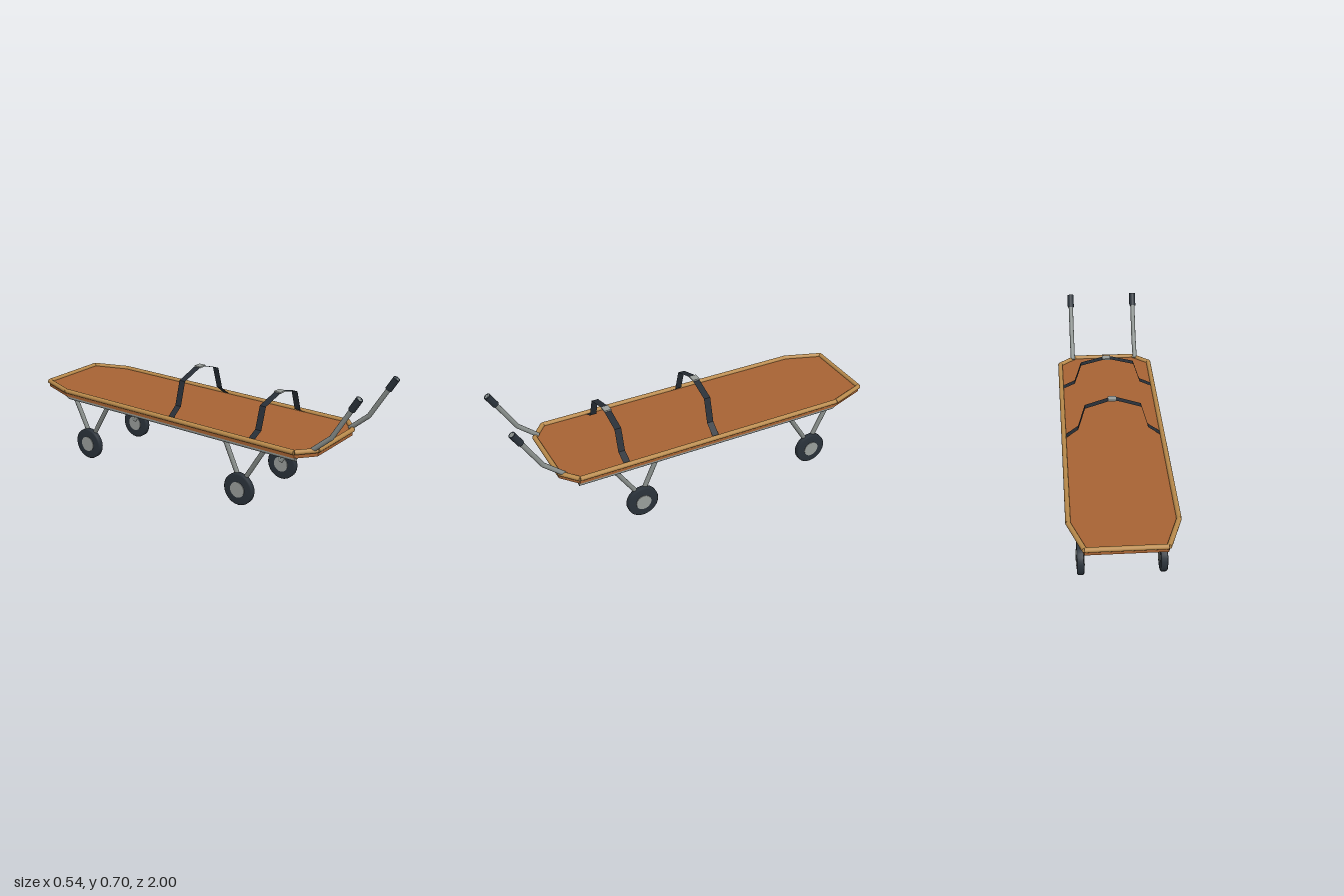
import * as THREE from 'three';

const mat = (name, color, side = THREE.FrontSide) => {
  const m = new THREE.MeshStandardMaterial({ color, side });
  m.name = name;
  return m;
};
const V = (x, y, z) => new THREE.Vector3(x, y, z);

export function createModel() {
  const group = new THREE.Group();
  const wood = mat('wood', 0xa86434);
  const trim = mat('trimWood', 0xb98a4b);
  const metal = mat('metal', 0x8a908d);
  const hubMetal = mat('hubMetal', 0x9a9f9c);
  const rubber = mat('rubber', 0x2a323a);
  const webbing = mat('webbing', 0x272e36, THREE.DoubleSide);

  const add = (name, geometry, material, parent = group) => {
    const mesh = new THREE.Mesh(geometry, material);
    mesh.name = name;
    parent.add(mesh);
    return mesh;
  };

  // Round bar between two points
  const bar = (name, a, b, r, material, sides = 12) => {
    const mesh = add(name, new THREE.CylinderGeometry(r, r, a.distanceTo(b), sides), material);
    mesh.position.copy(a).add(b).multiplyScalar(0.5);
    mesh.quaternion.setFromUnitVectors(V(0, 1, 0), b.clone().sub(a).normalize());
    return mesh;
  };
  // Ball that closes the elbow between two bars
  const elbow = (name, p, r, material) =>
    add(name, new THREE.SphereGeometry(r, 12, 8), material).position.copy(p);

  // Deck board with cut corners, outline as [x, z]
  const half = [[0.168, 0.772], [0.258, 0.695], [0.258, -0.79], [0.19, -0.986]];
  const outline = [...half, ...half.map(([x, z]) => [-x, z]).reverse()];
  const shape = new THREE.Shape(outline.map(([x, z]) => new THREE.Vector2(x, -z)));
  const deck = new THREE.ExtrudeGeometry(shape, { depth: 0.029, bevelEnabled: false });
  deck.rotateX(-Math.PI / 2);
  add('deck', deck, wood).position.y = 0.357;

  // Rounded rim along every deck edge
  outline.forEach(([x, z], i) => {
    const [x2, z2] = outline[(i + 1) % outline.length];
    bar('rim', V(x, 0.388, z), V(x2, 0.388, z2), 0.0125, trim);
  });

  for (const s of [1, -1]) {
    // Rail under the deck, turning inward at the back
    const rail = [V(s * 0.246, 0.352, 0.70), V(s * 0.246, 0.352, -0.775), V(s * 0.148, 0.352, -0.955)];
    bar('rail', rail[0], rail[1], 0.012, metal);
    bar('railEnd', rail[1], rail[2], 0.012, metal);
    elbow('railElbow', rail[1], 0.012, metal);

    // Bent handle with a rubber grip
    const h = [V(s * 0.183, 0.388, 0.748), V(s * 0.183, 0.475, 0.85), V(s * 0.183, 0.695, 0.985)];
    bar('handleBase', h[0], h[1], 0.0125, metal);
    bar('handle', h[1], h[2], 0.0125, metal);
    elbow('handleElbow', h[1], 0.0125, metal);
    bar('grip', h[1].clone().lerp(h[2], 0.72), h[2], 0.018, rubber, 16);

    for (const z of [0.345, -0.68]) {
      // Pair of legs meeting at the wheel
      for (const dz of [0.165, -0.088]) {
        bar('leg', V(s * 0.215, 0.354, z + dz), V(s * 0.186, 0.104, z), 0.0125, metal);
      }

      // Tyre with softly cut shoulders, and hub
      const wheel = new THREE.Group();
      wheel.name = 'wheel';
      wheel.position.set(s * 0.203, 0.0855, z);
      wheel.rotation.z = Math.PI / 2;
      group.add(wheel);
      const profile = [[0.03, -0.0175], [0.079, -0.0175], [0.0855, -0.012],
        [0.0855, 0.012], [0.079, 0.0175], [0.03, 0.0175]];
      add('tyre', new THREE.LatheGeometry(profile.map(([r, y]) => new THREE.Vector2(r, y)), 28), rubber, wheel);
      add('hub', new THREE.CylinderGeometry(0.042, 0.042, 0.042, 24), hubMetal, wheel);
    }
  }

  // Flat straps arching over the deck, each with a buckle on top
  const straps = [
    { z: 0.44, path: [[0.245, 0.388], [0.182, 0.418], [0.145, 0.532], [0.02, 0.565]] },
    { z: -0.06, path: [[0.245, 0.388], [0.182, 0.436], [0.145, 0.562], [0.02, 0.603]] },
  ];
  for (const { z, path } of straps) {
    const full = [...path.map(([x, y]) => [-x, y]), ...[...path].reverse()];
    const strip = new THREE.PlaneGeometry(1, 0.036, full.length - 1, 1).rotateX(-Math.PI / 2);
    const pos = strip.attributes.position;
    for (let i = 0; i < pos.count; i++) {
      const [x, y] = full[i % full.length];
      pos.setXYZ(i, x, y, pos.getZ(i));
    }
    const flat = strip.toNonIndexed();
    flat.computeVertexNormals();
    add('strap', flat, webbing).position.z = z;
    add('buckle', new THREE.BoxGeometry(0.044, 0.008, 0.038), hubMetal)
      .position.set(0.005, path[3][1] + 0.002, z);
  }

  return group;
}
